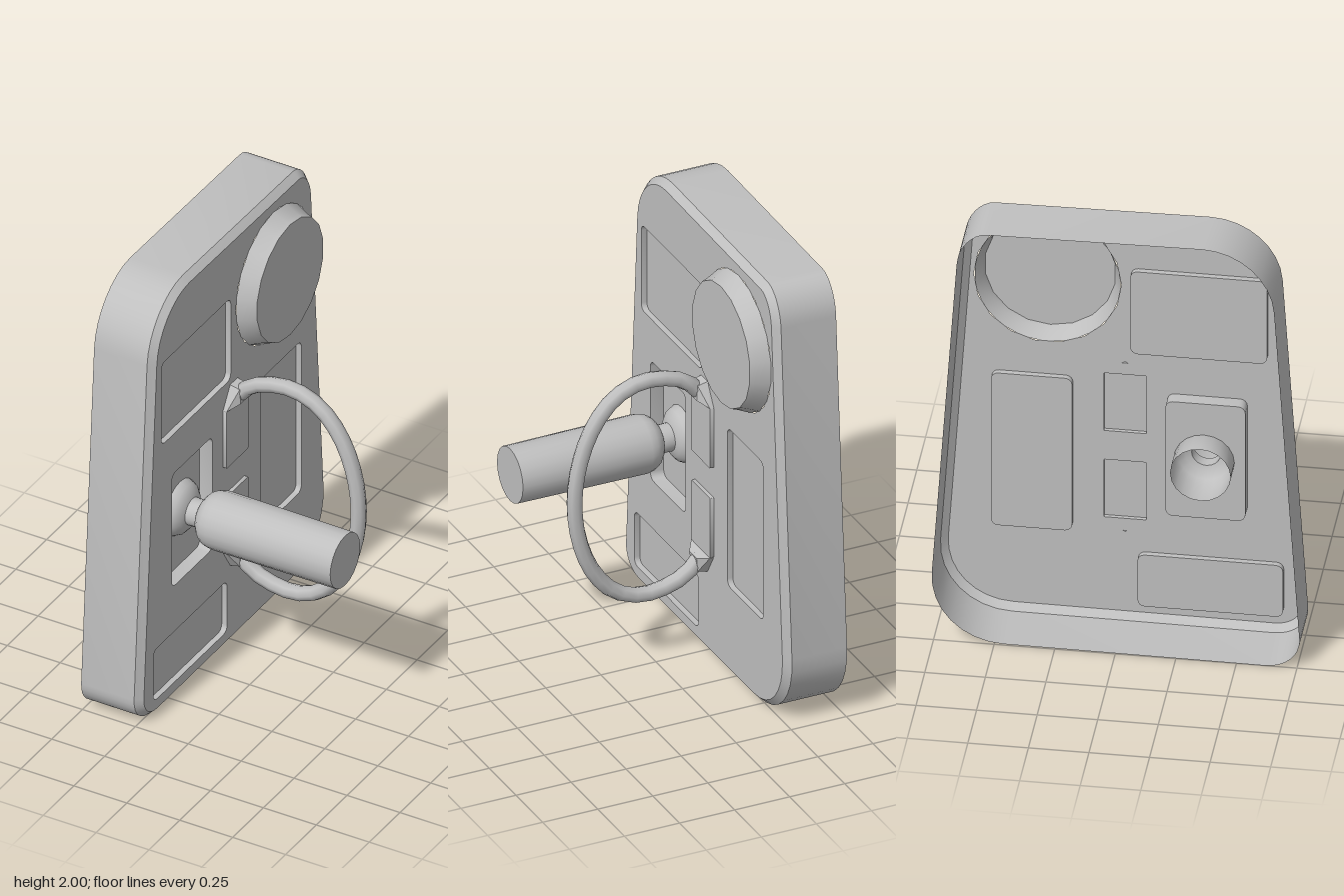
import * as THREE from 'three';
import { toCreasedNormals } from 'three/addons/utils/BufferGeometryUtils.js';
import { ConvexGeometry } from 'three/addons/geometries/ConvexGeometry.js';

const V2 = (x, y) => new THREE.Vector2(x, y);
const V3 = (x, y, z) => new THREE.Vector3(x, y, z);
const FACE = -0.22; // depth of the panel face
const MID = 0.83; // height of the handle centre

// Wall between two matching counter-clockwise loops at two depths
function strip(a, za, b, zb) {
  const pos = [], idx = [], n = a.length;
  for (let i = 0; i < n; i++) {
    pos.push(a[i].x, a[i].y, za, b[i].x, b[i].y, zb);
    const j = (i + 1) % n;
    idx.push(2 * i, 2 * j, 2 * j + 1, 2 * i, 2 * j + 1, 2 * i + 1);
  }
  const g = new THREE.BufferGeometry();
  g.setAttribute('position', new THREE.Float32BufferAttribute(pos, 3));
  g.setIndex(idx);
  return toCreasedNormals(g, 0.6);
}

// Closed loop of points with rounded corners, each given as [start, corner, end]
function roundedLoop(corners, divisions) {
  const pts = [];
  for (const [s, c, e] of corners) {
    const curve = new THREE.CubicBezierCurve(s, s.clone().lerp(c, 0.55), e.clone().lerp(c, 0.55), e);
    pts.push(...curve.getPoints(divisions));
  }
  return pts;
}

function roundedRect(u0, u1, v0, v1, r) {
  return roundedLoop([
    [V2(u1 - r, v0), V2(u1, v0), V2(u1, v0 + r)],
    [V2(u1, v1 - r), V2(u1, v1), V2(u1 - r, v1)],
    [V2(u0 + r, v1), V2(u0, v1), V2(u0, v1 - r)],
    [V2(u0, v0 + r), V2(u0, v0), V2(u0 + r, v0)],
  ], 4);
}

function circle(u, v, r, n) {
  return Array.from({ length: n }, (_, i) => {
    const t = (i / n) * Math.PI * 2;
    return V2(u + r * Math.cos(t), v + r * Math.sin(t));
  });
}

// Move a loop inwards along its normals
function inset(loop, d) {
  const n = loop.length;
  return loop.map((p, i) => {
    const t = loop[(i + 1) % n].clone().sub(loop[(i + n - 1) % n]).normalize();
    return V2(p.x - t.y * d, p.y + t.x * d);
  });
}

function plate(loop, holes, z) {
  const s = new THREE.Shape(loop);
  s.holes = holes.map((h) => new THREE.Path(h));
  return new THREE.ShapeGeometry(s).translate(0, 0, z);
}

// Turned part whose axis points out of the panel; profile is [radius, depth]
function turned(profile, u, v, sides) {
  const g = new THREE.LatheGeometry(profile.map(([r, d]) => V2(r, d)), sides);
  g.rotateX(Math.PI / 2).translate(u, v, 0);
  return toCreasedNormals(g, 0.6);
}

export function createModel() {
  const grey = new THREE.MeshStandardMaterial({ color: 0xbfbfbf, side: THREE.DoubleSide });
  grey.name = 'grey';

  // Built facing +z, then turned to face +x
  const body = new THREE.Group();
  body.name = 'controlPanel';
  body.rotation.y = Math.PI / 2;
  const add = (name, geometry) => {
    const m = new THREE.Mesh(geometry, grey);
    m.name = name;
    body.add(m);
  };

  // Tapered shell, open at the back
  const outline = roundedLoop([
    [V2(0.46, 0.005), V2(0.78, 0.005), V2(0.757, 0.33)],
    [V2(0.655, 1.83), V2(0.645, 1.985), V2(0.53, 1.988)],
    [V2(-0.36, 2), V2(-0.637, 2), V2(-0.655, 1.72)],
    [V2(-0.76, 0.135), V2(-0.768, 0), V2(-0.62, 0)],
  ], 8);
  const rim = inset(outline, 0.028);
  add('shellWall', strip(outline, -0.5, outline, -0.25));
  add('shellBevel', strip(outline, -0.25, rim, FACE));

  // Recessed pockets (negative depth) and raised handle pads
  const knob = { u: -0.335, v: MID };
  const dial = { u: 0.32, v: 1.615 };
  const socket = circle(knob.u, knob.v, 0.125, 20);
  const pockets = [
    ['upperPocket', roundedRect(-0.59, -0.025, 1.3, 1.7, 0.03), -0.025, []],
    ['knobPocket', roundedRect(-0.505, -0.175, 0.55, 1.105, 0.03), -0.06, [socket]],
    ['lowerPocket', roundedRect(-0.655, -0.055, 0.075, 0.325, 0.03), -0.025, []],
    ['sidePocket', roundedRect(0.215, 0.55, 0.415, 1.155, 0.03), -0.025, []],
    ['upperPad', roundedRect(-0.088, 0.088, 0.9, 1.18, 0.004), 0.017, []],
    ['lowerPad', roundedRect(-0.088, 0.088, 0.48, 0.76, 0.004), 0.017, []],
  ];
  for (const [name, loop, depth, holes] of pockets) {
    add(name + 'Wall', strip(loop, FACE, loop, FACE + depth));
    add(name + 'Floor', plate(loop, holes, FACE + depth));
  }

  // Panel face with openings for the pockets, pads and dial
  const dialHole = circle(dial.u, dial.v, 0.305, 18);
  add('panelFace', plate(rim, [...pockets.map((p) => p[1]), dialHole], FACE));

  // Round dial
  add('dial', turned([[0.305, FACE], [0.28, -0.165], [0.272, -0.14], [0, -0.14]], dial.u, dial.v, 18));

  // Knob with open base tube, narrow neck and long grip
  add('knob', turned([
    [0.125, -0.39], [0.125, -0.28], [0.11, -0.25], [0.085, -0.23], [0.06, -0.222],
    [0.06, -0.168], [0.08, -0.165], [0.105, -0.145], [0.12, -0.12], [0.126, -0.09],
    [0.122, 0.5], [0, 0.5],
  ], knob.u, knob.v, 20));

  // Bowed handle, mirrored about its middle
  const half = [[-0.2, 1.215], [-0.13, 1.285], [0, 1.327], [0.1, 1.322], [0.2, 1.272], [0.29, 1.16], [0.35, 1.0]];
  const path = [
    ...half.map(([w, v]) => V3(0, v, w)),
    V3(0, MID, 0.37),
    ...half.slice().reverse().map(([w, v]) => V3(0, 2 * MID - v, w)),
  ];
  add('handle', new THREE.TubeGeometry(new THREE.CatmullRomCurve3(path), 28, 0.034, 8));

  // Wedge brackets holding the handle ends
  for (const side of [1, -1]) {
    const pts = [];
    for (const s of [1, -1]) {
      for (const [u, v, w] of [
        [0.088, 1.18, FACE], [0.088, 1.18, FACE + 0.017], [0.03, 1.275, FACE],
        [0.035, 1.2, -0.168], [0.03, 1.265, -0.175],
      ]) pts.push(V3(s * u, MID + side * (v - MID), w));
    }
    add(side > 0 ? 'upperBracket' : 'lowerBracket', new ConvexGeometry(pts));
  }

  const model = new THREE.Group();
  model.name = 'panelWithHandle';
  model.add(body);
  return model;
}
